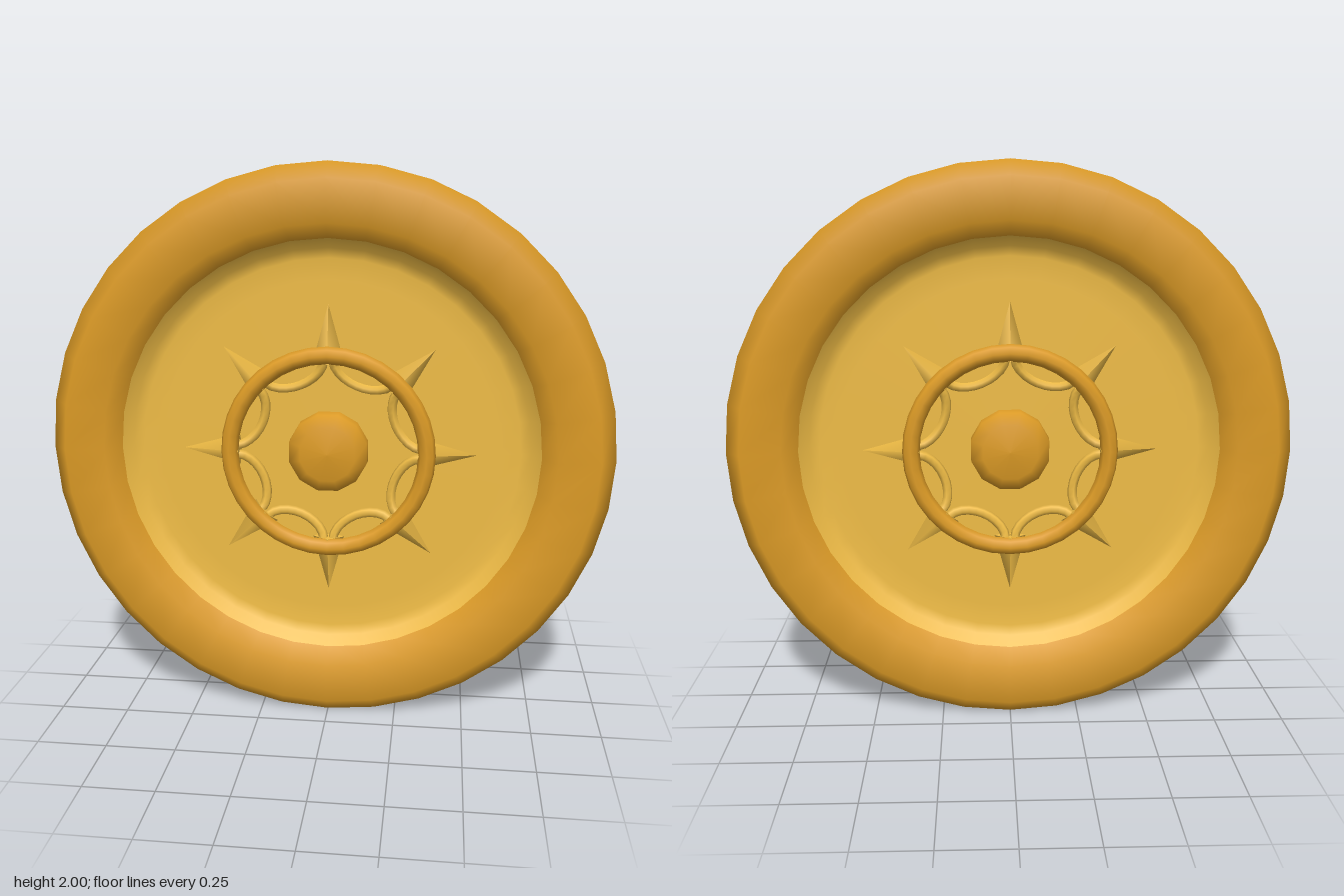
import * as THREE from 'three';

const darkGold = new THREE.MeshStandardMaterial({ color: 0xdb9a25 });
const paleGold = new THREE.MeshStandardMaterial({ color: 0xeebb45 });

function add(parent, name, geometry, material) {
  const mesh = new THREE.Mesh(geometry, material);
  mesh.name = name;
  parent.add(mesh);
  return mesh;
}

// Turned part around the z axis; points are [radius, z]
function turned(points, segments, phase = 0) {
  const profile = points.map(([r, z]) => new THREE.Vector2(r, z));
  return new THREE.LatheGeometry(profile, segments, phase).rotateX(Math.PI / 2);
}

// Everything on one side of the wheel, facing +z
function createFace() {
  const face = new THREE.Group();

  // Shallow dish filling the rim
  add(face, 'disc', turned([[0.755, 0.15], [0.715, 0.112], [0.68, 0.1], [0.6, 0.1], [0, 0.1]], 36), paleGold);

  // Low domed cap
  add(face, 'hubCap', turned([[0.145, 0.09], [0.143, 0.15], [0.1, 0.172], [0, 0.18]], 12, Math.PI / 12), darkGold);

  // Raised ring
  add(face, 'hubRing', new THREE.TorusGeometry(0.351, 0.031, 8, 36), darkGold).position.z = 0.155;

  // Eight spikes with scalloped arches between them
  for (let i = 0; i < 8; i++) {
    const sector = new THREE.Group();
    sector.name = 'starSector';
    sector.rotation.z = i * Math.PI / 4;
    face.add(sector);

    const spike = new THREE.ConeGeometry(0.056, 0.205, 4, 1);
    spike.scale(1, 1, 0.75).translate(0, 0.4225, 0.122);
    add(sector, 'spike', spike, paleGold);

    const points = [];
    for (let k = 0; k <= 8; k++) {
      const t = Math.PI * k / 8;
      points.push(new THREE.Vector3(0.118 * Math.cos(t), 0.335 - 0.078 * Math.sin(t), 0.14 - 0.025 * Math.sin(t)));
    }
    const arch = new THREE.TubeGeometry(new THREE.CatmullRomCurve3(points), 12, 0.017, 6);
    arch.rotateZ(Math.PI / 8);
    add(sector, 'scallopArch', arch, paleGold);
  }
  return face;
}

export function createModel() {
  const wheel = new THREE.Group();
  wheel.name = 'wheel';
  wheel.position.y = 1;

  // Thick rim with bevelled edges
  const half = [[1, 0.15], [0.945, 0.2], [0.8, 0.2], [0.745, 0.14]];
  const profile = [...half.map(([r, z]) => [r, -z]).reverse(), ...half];
  add(wheel, 'rim', turned(profile, 36), darkGold);

  const front = createFace();
  front.name = 'frontFace';
  const back = createFace();
  back.name = 'backFace';
  back.rotation.y = Math.PI;
  wheel.add(front, back);

  const model = new THREE.Group();
  model.add(wheel);
  return model;
}
